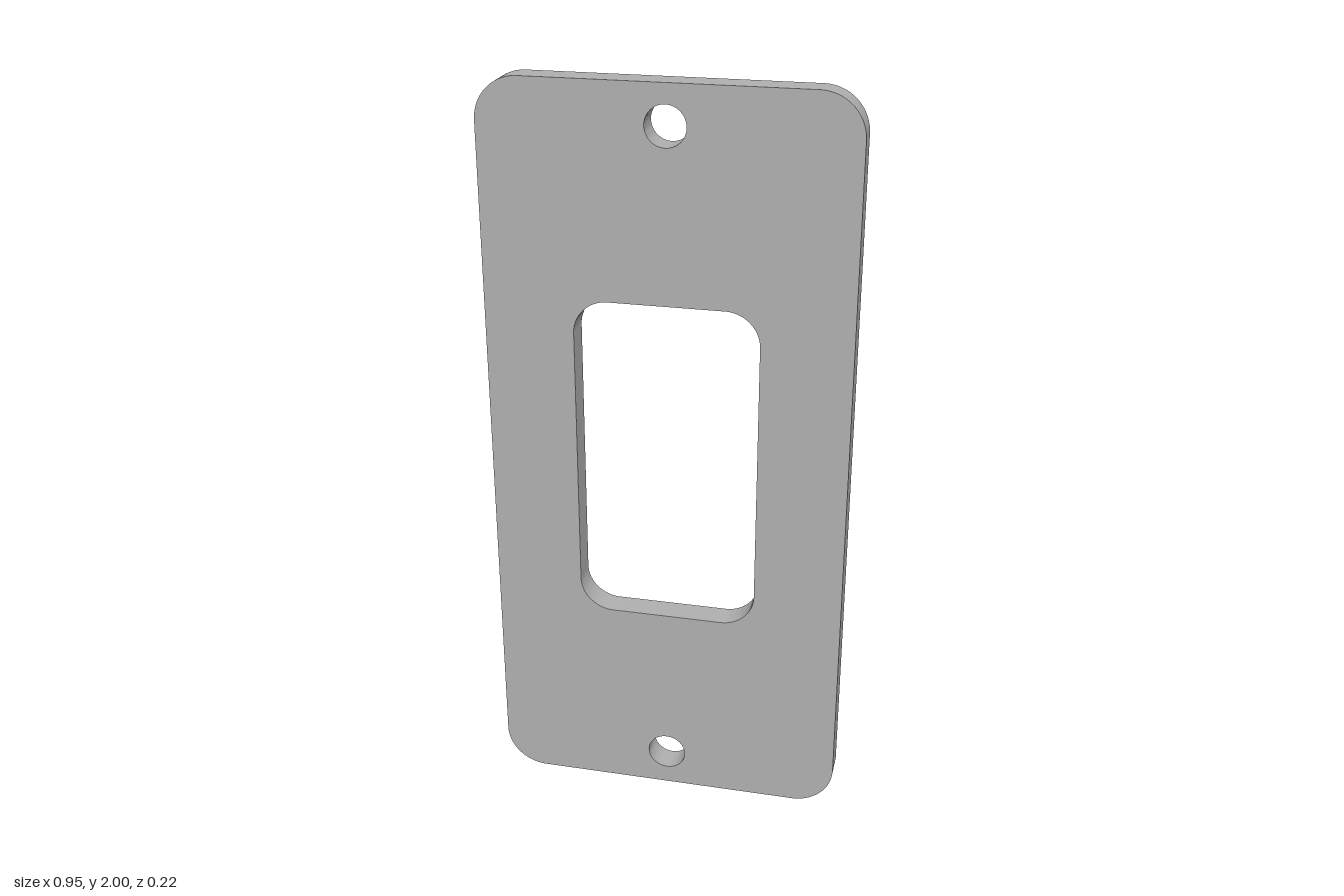
import * as THREE from 'three';
import { toCreasedNormals } from 'three/addons/utils/BufferGeometryUtils.js';

const BACK = 0.037, FRONT = 0.111, POST_END = -0.111;

// Rounded rectangle centred on the origin, added to a Shape or Path
function roundedRect(path, w, h, r) {
  const x = w / 2, y = h / 2;
  path.moveTo(x, -y + r);
  path.absarc(x - r, y - r, r, 0, Math.PI / 2);
  path.absarc(-x + r, y - r, r, Math.PI / 2, Math.PI);
  path.absarc(-x + r, -y + r, r, Math.PI, Math.PI * 1.5);
  path.absarc(x - r, -y + r, r, Math.PI * 1.5, Math.PI * 2);
  path.closePath();
  return path;
}

const circle = (path, x, y, r) => path.absarc(x, y, r, 0, Math.PI * 2);

// Extrude along z with sharp edges and smooth curves
function extrude(shape, z0, z1) {
  const geometry = new THREE.ExtrudeGeometry(shape, { depth: z1 - z0, bevelEnabled: false, curveSegments: 24 });
  geometry.translate(0, 0, z0);
  return toCreasedNormals(geometry, 0.6);
}

export function createModel() {
  const group = new THREE.Group();
  const grey = new THREE.MeshStandardMaterial({ color: 0xb0b0b0 });
  grey.name = 'grey';

  // Face plate with a window and two screw holes
  const outline = roundedRect(new THREE.Shape(), 0.95, 2, 0.112);
  outline.holes.push(roundedRect(new THREE.Path(), 0.48, 0.894, 0.09));
  for (const s of [-1, 1]) outline.holes.push(circle(new THREE.Path(), 0, s * 0.897, 0.052));
  const plate = new THREE.Mesh(extrude(outline, BACK, FRONT), grey);
  plate.name = 'facePlate';
  plate.position.y = 1;
  group.add(plate);

  // Four hollow mounting posts on the back
  const ring = circle(new THREE.Shape(), 0, 0, 0.074);
  ring.holes.push(circle(new THREE.Path(), 0, 0, 0.025));
  const postGeometry = extrude(ring, POST_END, BACK);
  for (const sy of [-1, 1]) {
    for (const sx of [-1, 1]) {
      const post = new THREE.Mesh(postGeometry, grey);
      post.name = (sy > 0 ? 'upper' : 'lower') + (sx > 0 ? 'Left' : 'Right') + 'Post';
      post.position.set(sx * 0.348, 1 + sy * 0.655, 0);
      group.add(post);
    }
  }
  return group;
}
